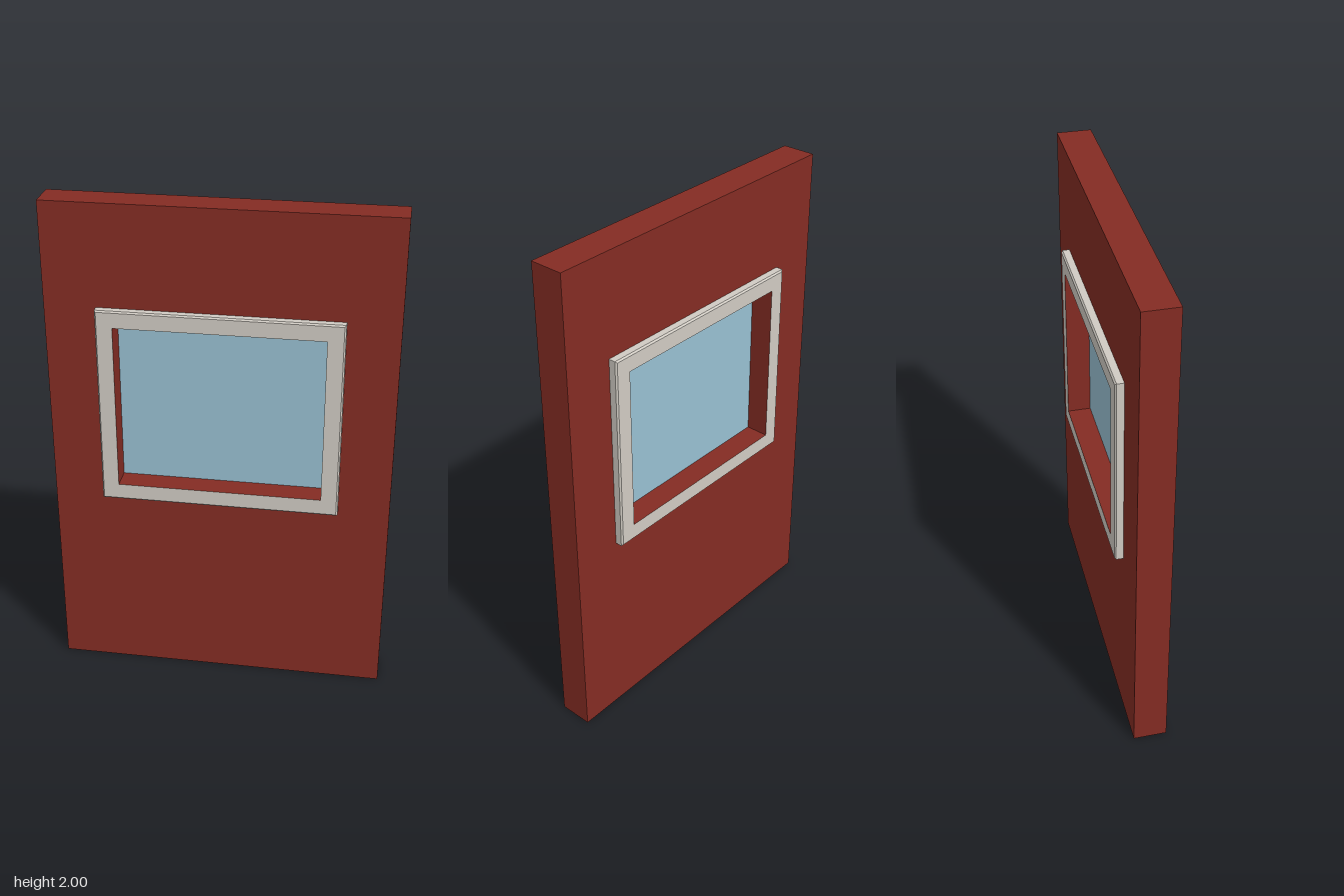
import * as THREE from 'three';

const W = 0.8, H = 0.6667, CY = 1.2;   // window opening
const DEPTH = 0.1333, FRONT = 0.1;     // wall thickness, front plane of the trim

// Sweeps a profile of [outset, z] points around the window opening
function sweepOpening(profile) {
  const corners = [[-1, -1], [1, -1], [1, 1], [-1, 1]];
  const at = (k, [o, z]) => {
    const [sx, sy] = corners[k % 4];
    return [sx * (W / 2 + o), CY + sy * (H / 2 + o), z];
  };
  const pos = [];
  for (let i = 0; i < profile.length - 1; i++) {
    for (let k = 0; k < 4; k++) {
      const a = at(k, profile[i]), b = at(k + 1, profile[i]);
      const c = at(k + 1, profile[i + 1]), d = at(k, profile[i + 1]);
      pos.push(...a, ...b, ...c, ...a, ...c, ...d);
    }
  }
  const g = new THREE.BufferGeometry();
  g.setAttribute('position', new THREE.Float32BufferAttribute(pos, 3));
  g.computeVertexNormals();
  return g;
}

function rect(target, x, y0, y1) {
  target.moveTo(-x, y0);
  target.lineTo(x, y0);
  target.lineTo(x, y1);
  target.lineTo(-x, y1);
  target.closePath();
  return target;
}

export function createModel() {
  const material = (name, color) => {
    const m = new THREE.MeshStandardMaterial({ color, side: THREE.DoubleSide });
    m.name = name;
    return m;
  };
  const brick = material('brickRed', 0x842c23);
  const stone = material('paleStone', 0xd0cbc3);
  const pane = material('paleBlue', 0x98c0d2);

  const model = new THREE.Group();
  model.name = 'windowWall';
  const add = (parent, name, geometry, mat) => {
    const mesh = new THREE.Mesh(geometry, mat);
    mesh.name = name;
    parent.add(mesh);
    return mesh;
  };

  // Wall panel with the opening cut through
  const shape = rect(new THREE.Shape(), 0.6667, 0, 2);
  shape.holes.push(rect(new THREE.Path(), W / 2, CY - H / 2, CY + H / 2));
  const wall = new THREE.ExtrudeGeometry(shape, { depth: DEPTH, bevelEnabled: false });
  wall.translate(0, 0, -DEPTH / 2);
  add(model, 'wall', wall, brick);

  // Glass pane in the middle of the wall
  add(model, 'glass', new THREE.BoxGeometry(W, H, 0.012), pane).position.y = CY;

  // Chamfered trim and the red reveal lining it, on both faces
  const trim = sweepOpening([[0.0667, DEPTH / 2], [0.0667, FRONT - 0.006], [0.0607, FRONT], [0, FRONT]]);
  const reveal = sweepOpening([[0, FRONT], [0, DEPTH / 2]]);
  ['front', 'back'].forEach((side, i) => {
    const group = new THREE.Group();
    group.name = side + 'WindowFrame';
    group.rotation.y = i * Math.PI;
    add(group, side + 'Trim', trim, stone);
    add(group, side + 'Reveal', reveal, brick);
    model.add(group);
  });

  return model;
}
